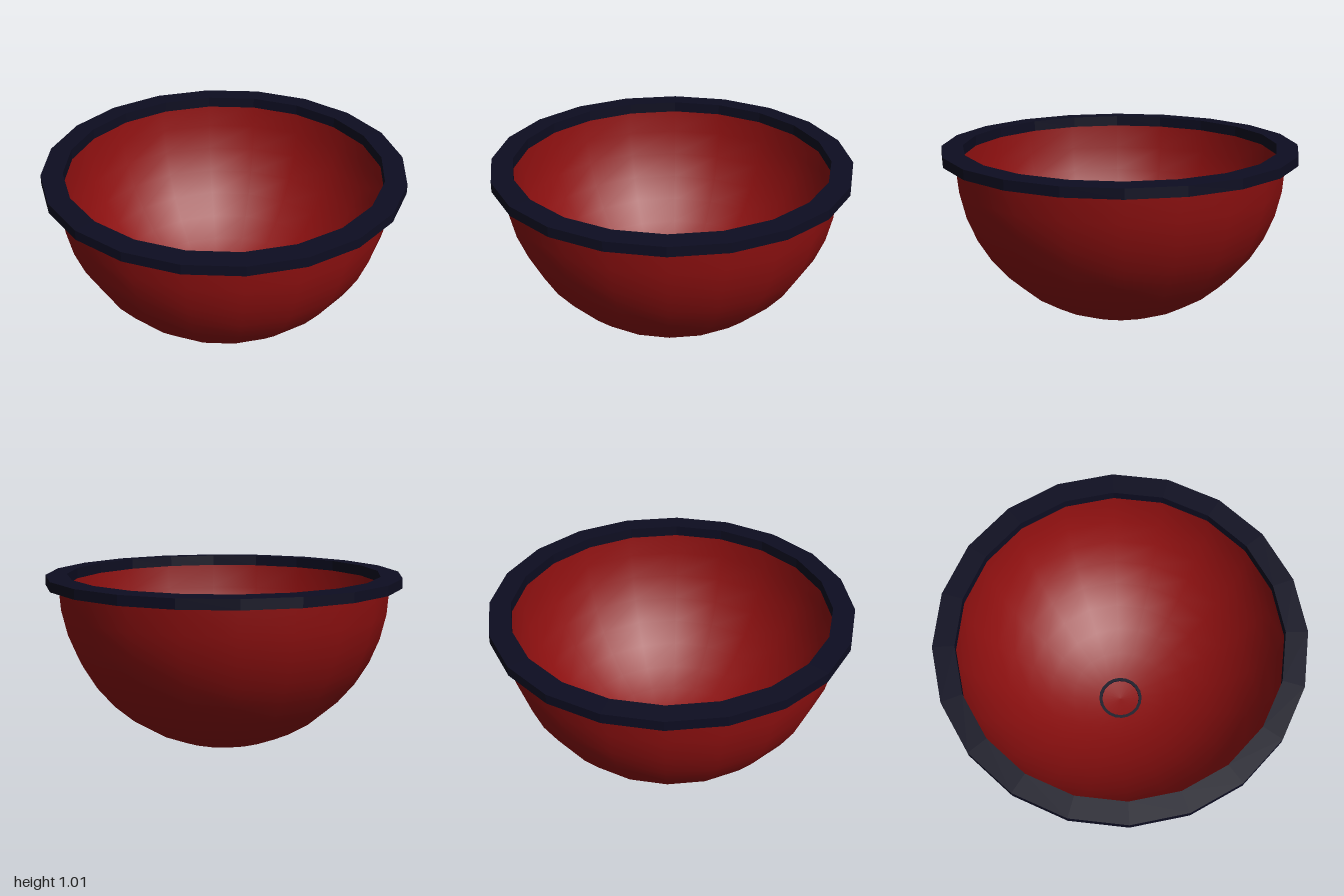
import * as THREE from 'three';

const SIDES = 20;

export function createModel() {
  const group = new THREE.Group();
  group.name = 'bowl';
  const red = new THREE.MeshStandardMaterial({ color: 0x8e1010, side: THREE.DoubleSide });
  red.name = 'deep red';
  const navy = new THREE.MeshStandardMaterial({ color: 0x0d0d21, side: THREE.DoubleSide });
  navy.name = 'dark navy';

  // Turns a profile of [radius, height] pairs around the y axis
  function turned(name, profile, material, faceted) {
    const points = profile.map(([r, y]) => new THREE.Vector2(r, y));
    let geometry = new THREE.LatheGeometry(points, SIDES);
    if (faceted) {
      geometry = geometry.toNonIndexed();
      geometry.computeVertexNormals();
    }
    const mesh = new THREE.Mesh(geometry, material);
    mesh.name = name;
    group.add(mesh);
  }

  // Thin hemispherical shell, from the pole up to the rim
  const shell = [];
  for (let i = 0; i <= 10; i++) {
    const a = (i / 10) * Math.PI / 2;
    shell.push([0.93 * Math.sin(a), 0.95 - 0.93 * Math.cos(a)]);
  }
  turned('shell', shell, red, false);

  // Flat rim band
  turned('rim', [[0.88, 0.95], [1, 0.95], [1, 1.005], [0.88, 1.01], [0.88, 0.95]], navy, true);

  // Shallow foot whose edge shows as a thin ring inside the bowl
  turned('foot', [[0, 0], [0.08, 0.006], [0.115, 0.019], [0.13, 0.036], [0.112, 0.036], [0.11, 0.02]], navy, true);

  return group;
}
